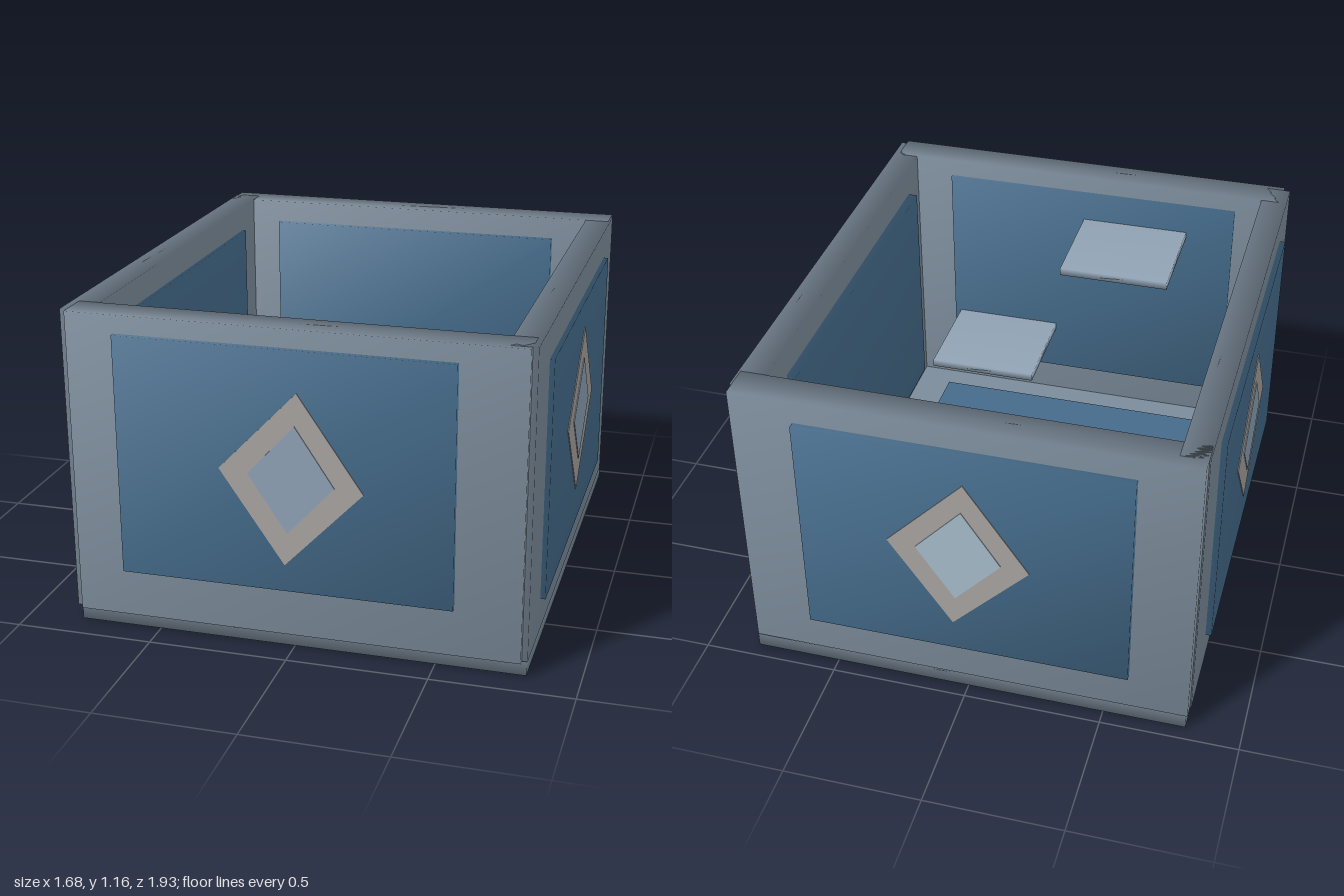
import * as THREE from 'three';
import { mergeVertices } from 'three/addons/utils/BufferGeometryUtils.js';

const mat = (color) => new THREE.MeshStandardMaterial({ color });
const frameMat = mat(0x7d8d9c);
const panelMat = mat(0x456c8c);
const shelfMat = mat(0x90a2b4);
const diamondMat = mat(0xa8a4a0);
const gemMat = mat(0x8ea2b6);
const paleGemMat = mat(0xa6bccb);

// Box from its extents, with shared corners so the shading is smooth over the edges
function slab(name, material, [x0, x1], [y0, y1], [z0, z1]) {
  let geo = new THREE.BoxGeometry(x1 - x0, y1 - y0, z1 - z0);
  geo.deleteAttribute('normal');
  geo.deleteAttribute('uv');
  geo = mergeVertices(geo);
  geo.computeVertexNormals();
  const mesh = new THREE.Mesh(geo, material);
  mesh.name = name;
  mesh.position.set((x0 + x1) / 2, (y0 + y1) / 2, (z0 + z1) / 2);
  return mesh;
}

// Thin plate cut to a four-cornered outline, its face at z = lift
function plate(name, material, corners, lift) {
  const shape = new THREE.Shape(corners.map(([x, y]) => new THREE.Vector2(x, y)));
  const geo = new THREE.ExtrudeGeometry(shape, { depth: 0.01, bevelEnabled: false });
  const mesh = new THREE.Mesh(geo, material);
  mesh.name = name;
  mesh.position.z = lift - 0.01;
  return mesh;
}

// Slightly skewed diamond with a smaller one set on it; stretch widens it
function emblem(stretch, gem) {
  const group = new THREE.Group();
  group.name = 'diamondOrnament';
  const outer = [[0.03, 0.31], [-0.25, 0.02], [-0.02, -0.312], [0.26, -0.025]];
  const inner = [[0.022, 0.195], [-0.147, 0.012], [-0.008, -0.193], [0.16, -0.012]];
  const widen = (pts) => pts.map(([x, y]) => [x * stretch, y]);
  group.add(plate('diamondFrame', diamondMat, widen(outer), 0.003));
  group.add(plate('diamondCentre', gem, widen(inner), 0.006));
  return group;
}

export function createModel() {
  const model = new THREE.Group();
  model.name = 'openBox';

  // Floor
  const floor = new THREE.Group();
  floor.name = 'floor';
  floor.add(slab('floorSlab', frameMat, [-0.8, 0.815], [0, 0.11], [-0.945, 0.89]));
  floor.add(slab('floorPanel', panelMat, [-0.575, 0.58], [0.06, 0.125], [-0.685, 0.69]));
  model.add(floor);

  // Walls: frame extents, panel extents, ornament position and turn
  const high = [0.06, 1.165];
  const walls = [
    { name: 'frontWall', frame: [[-0.785, 0.8], high, [0.8, 0.925]],
      panel: [[-0.61, 0.57], [0.235, 1.1], [0.79, 0.945]],
      at: [0.005, 0.645, 0.945], turn: 0, stretch: 0.99, gem: gemMat },
    { name: 'backWall', frame: [[-0.805, 0.812], high, [-0.95, -0.825]],
      panel: [[-0.59, 0.585], [0.21, 1.08], [-0.975, -0.8]],
      at: [0.02, 0.645, -0.975], turn: Math.PI, stretch: 0.99, gem: paleGemMat },
    { name: 'leftWall', frame: [[0.72, 0.82], high, [-0.9, 0.903]],
      panel: [[0.685, 0.838], [0.185, 1.055], [-0.665, 0.675]],
      at: [0.838, 0.645, 0], turn: Math.PI / 2, stretch: 1.2, gem: gemMat },
    { name: 'rightWall', frame: [[-0.81, -0.71], high, [-0.9, 0.903]],
      panel: [[-0.832, -0.695], [0.197, 1.067], [-0.67, 0.67]],
      at: [-0.832, 0.645, 0], turn: -Math.PI / 2, stretch: 1.2, gem: gemMat },
  ];
  for (const w of walls) {
    const wall = new THREE.Group();
    wall.name = w.name;
    wall.add(slab('wallFrame', frameMat, ...w.frame));
    wall.add(slab('wallPanel', panelMat, ...w.panel));
    const ornament = emblem(w.stretch, w.gem);
    ornament.position.set(...w.at);
    ornament.rotation.y = w.turn;
    wall.add(ornament);
    model.add(wall);
  }

  // Shelves on the inside of the front wall
  model.add(slab('upperShelf', shelfMat, [-0.42, 0.005], [0.95, 0.98], [0.39, 0.81]));
  model.add(slab('lowerShelf', shelfMat, [0.12, 0.545], [0.42, 0.45], [0.39, 0.81]));

  return model;
}
